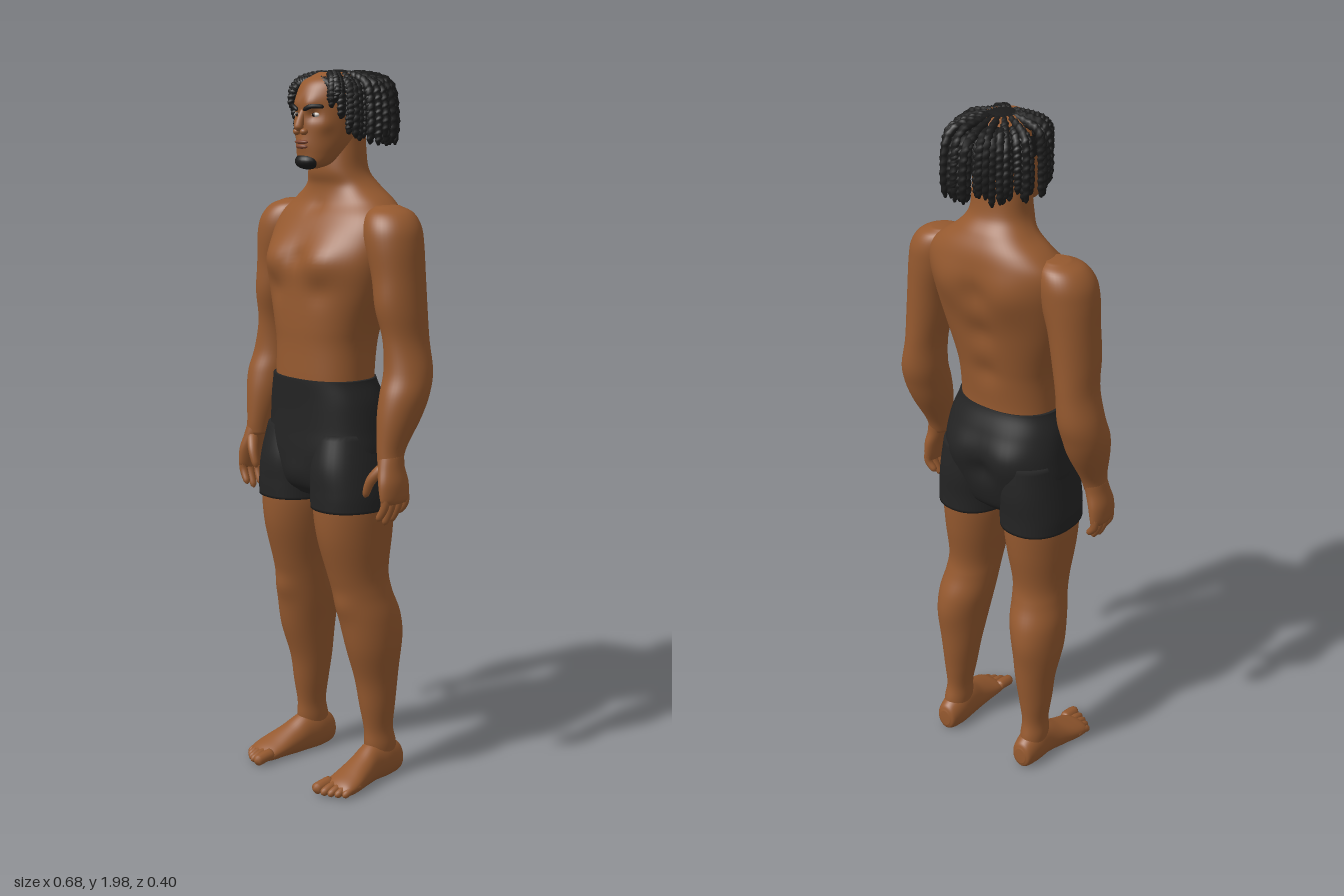
import * as THREE from 'three';

const mat = (name, color, side = THREE.FrontSide) => {
  const m = new THREE.MeshStandardMaterial({ color, side });
  m.name = name;
  return m;
};
const V = (x, y, z) => new THREE.Vector3(x, y, z);

// Joins rings of points into a smooth closed skin with capped ends
function skinRings(rings) {
  const n = rings[0].length, pos = [], idx = [];
  const middle = (r) => r.reduce((a, p) => a.add(p), V(0, 0, 0)).divideScalar(n);
  const cap = (r) => { const c = middle(r); return r.map(() => c); };
  const all = [cap(rings[0]), ...rings, cap(rings[rings.length - 1])];
  all.forEach((r) => r.forEach((p) => pos.push(p.x, p.y, p.z)));
  for (let i = 0; i < all.length - 1; i++) for (let j = 0; j < n; j++) {
    const a = i * n + j, b = i * n + (j + 1) % n;
    if (i > 0) idx.push(a, a + n, b);
    else idx.push(a, a + n, b + n);
    if (i > 0 && i < all.length - 2) idx.push(b, a + n, b + n);
  }
  const g = new THREE.BufferGeometry();
  g.setAttribute('position', new THREE.Float32BufferAttribute(pos, 3));
  g.setIndex(idx);
  g.computeVertexNormals();
  return g;
}

// Upright body part from rows [y, centre x, centre z, half width, half depth]
// bumps: [x, y, z, radius, amount] swell or dent the skin, on both sides
function loft(rows, { steps = 48, n = 40, power = 2, bumps = [], side = 1 } = {}) {
  const centre = new THREE.CatmullRomCurve3(rows.map((r) => V(r[1] * side, r[0], r[2])), false, 'catmullrom');
  const size = new THREE.CatmullRomCurve3(rows.map((r) => V(r[3], 0, r[4])), false, 'catmullrom');
  const round = (v) => Math.sign(v) * Math.pow(Math.abs(v), 2 / power);
  const rings = [];
  for (let i = 0; i <= steps; i++) {
    const c = centre.getPoint(i / steps), s = size.getPoint(i / steps), ring = [];
    for (let j = 0; j < n; j++) {
      const a = (j / n) * Math.PI * 2;
      const out = V(Math.cos(a), 0, Math.sin(a));
      const p = V(c.x + s.x * round(out.x), c.y, c.z + s.z * round(out.z));
      let push = 0;
      for (const [bx, by, bz, r, amount] of bumps) {
        const d = (Math.abs(p.x) - bx) ** 2 + (p.y - by) ** 2 + (p.z - bz) ** 2;
        push += amount * Math.exp(-d / (r * r));
      }
      ring.push(p.addScaledVector(out, push));
    }
    rings.push(ring);
  }
  return skinRings(rings);
}

// Rounded strand along points; radius(t, angle) sets its thickness
function strand(points, radius, steps = 14, n = 10) {
  const curve = new THREE.CatmullRomCurve3(points);
  const f = curve.computeFrenetFrames(steps);
  const rings = [];
  for (let i = 0; i <= steps; i++) {
    const t = i / steps, c = curve.getPointAt(t), ring = [];
    const end = Math.sqrt(Math.max(0.08, 1 - Math.pow(Math.abs(2 * t - 1), 8)));
    for (let j = 0; j < n; j++) {
      const a = (j / n) * Math.PI * 2, r = radius(t, a) * end;
      ring.push(c.clone().addScaledVector(f.normals[i], r * Math.cos(a)).addScaledVector(f.binormals[i], -r * Math.sin(a)));
    }
    rings.push(ring);
  }
  return skinRings(rings);
}

export function createModel() {
  const skin = mat('skin', 0x95592f), black = mat('shorts cloth', 0x242424);
  const hair = mat('hair', 0x1b1b1b, THREE.DoubleSide);
  const lipColor = mat('lips', 0x7d4530), white = mat('eye white', 0xd8d0c8), dark = mat('iris', 0x1a100c);
  const model = new THREE.Group();
  const add = (name, geo, m, parent = model) => {
    const mesh = new THREE.Mesh(geo, m);
    mesh.name = name;
    parent.add(mesh);
    return mesh;
  };
  const group = (name) => { const g = new THREE.Group(); g.name = name; model.add(g); return g; };
  const ball = (name, x, y, z, rx, ry, rz, m, parent) => {
    const b = add(name, new THREE.SphereGeometry(1, 20, 14), m, parent);
    b.scale.set(rx, ry, rz);
    b.position.set(x, y, z);
    return b;
  };

  // Torso, trapezius and neck
  add('torso', loft([
    [1.1, 0, 0.033, 0.148, 0.118], [1.16, 0, 0.04, 0.148, 0.113], [1.25, 0, 0.035, 0.15, 0.116],
    [1.31, 0, 0.031, 0.163, 0.121], [1.4, 0, 0.022, 0.192, 0.128], [1.48, 0, 0.012, 0.21, 0.135],
    [1.55, 0, -0.008, 0.216, 0.125], [1.6, 0, -0.022, 0.205, 0.11], [1.64, 0, -0.032, 0.165, 0.093],
    [1.68, 0, -0.027, 0.112, 0.08], [1.72, 0, -0.01, 0.086, 0.073], [1.78, 0, -0.008, 0.08, 0.066],
    [1.84, 0, -0.008, 0.078, 0.064],
  ], { steps: 72, n: 64, power: 2.3, bumps: [
    [0.085, 1.49, 0.13, 0.06, 0.02], [0, 1.49, 0.14, 0.025, -0.01], [0.085, 1.405, 0.14, 0.035, -0.007],
    [0.09, 1.53, -0.12, 0.065, 0.012], [0, 1.52, -0.13, 0.04, -0.01], [0, 1.4, -0.1, 0.04, -0.012],
    [0, 1.28, -0.08, 0.04, -0.01], [0, 1.62, 0.07, 0.025, -0.006],
  ] }), skin);

  // Shorts: hips and two leg sleeves
  const shorts = group('shorts');
  add('shortsHips', loft([
    [0.835, 0, 0.03, 0.1, 0.08], [0.87, 0, 0.03, 0.165, 0.112], [0.95, 0, 0.026, 0.194, 0.13],
    [1.03, 0, 0.022, 0.188, 0.133], [1.1, 0, 0.03, 0.177, 0.126], [1.15, 0, 0.04, 0.16, 0.119], [1.165, 0, 0.0425, 0.156, 0.117],
  ], { n: 56, power: 2.3, bumps: [[0.08, 1.02, -0.1, 0.06, 0.012], [0, 0.98, -0.12, 0.035, -0.02], [0, 0.9, 0.14, 0.04, 0.01]] }), black, shorts);

  for (const s of [1, -1]) {
    const side = s > 0 ? 'left' : 'right';
    add(side + 'ShortsLeg', loft([
      [0.81, 0.111, 0.03, 0.104, 0.129], [0.86, 0.11, 0.03, 0.103, 0.13], [0.93, 0.105, 0.027, 0.097, 0.132], [1.02, 0.1, 0.02, 0.085, 0.12],
    ], { steps: 20, power: 2.2, side: s }), black, shorts);

    // Leg with calf and knee
    const leg = group(side + 'Leg');
    add(side + 'LegSkin', loft([
      [0.05, 0.147, -0.045, 0.034, 0.048], [0.1, 0.147, -0.038, 0.037, 0.052], [0.15, 0.145, -0.033, 0.035, 0.047],
      [0.22, 0.143, -0.03, 0.045, 0.056], [0.3, 0.14, -0.028, 0.055, 0.067], [0.4, 0.14, -0.016, 0.069, 0.086],
      [0.49, 0.132, -0.007, 0.077, 0.095], [0.56, 0.123, 0.011, 0.075, 0.09], [0.62, 0.118, 0.024, 0.076, 0.094],
      [0.72, 0.113, 0.031, 0.09, 0.115], [0.8, 0.11, 0.032, 0.099, 0.123], [0.86, 0.11, 0.03, 0.098, 0.122],
    ], { steps: 60, side: s, bumps: [[0.128, 0.53, 0.09, 0.035, 0.007], [0.15, 0.43, -0.1, 0.05, 0.006]] }), skin, leg);

    // Foot runs heel to ball, flattened on the sole
    const foot = loft([
      [-0.11, 0.146, -0.045, 0.018, 0.025], [-0.098, 0.146, -0.047, 0.033, 0.045], [-0.05, 0.146, -0.055, 0.041, 0.062],
      [0, 0.148, -0.053, 0.041, 0.06], [0.05, 0.156, -0.04, 0.046, 0.046], [0.1, 0.164, -0.029, 0.052, 0.033],
      [0.135, 0.166, -0.022, 0.051, 0.024], [0.155, 0.163, -0.018, 0.042, 0.015],
    ], { side: s }).rotateX(Math.PI / 2);
    const fp = foot.attributes.position;
    for (let i = 0; i < fp.count; i++) fp.setY(i, Math.max(0.003, fp.getY(i)));
    foot.computeVertexNormals();
    add(side + 'Foot', foot, skin, leg);
    [[0.13, 0.198, 0.017], [0.155, 0.192, 0.012], [0.174, 0.183, 0.011], [0.191, 0.172, 0.011], [0.207, 0.158, 0.011]].forEach(([x, z, r], i) =>
      add(`${side}Toe${i + 1}`, strand([V(x * s, 0.028, z - 0.065), V(x * s, 0.024, z - 0.03), V(x * s, r + 0.001, z)], () => r), skin, leg));

    // Arm from shoulder dome to wrist, then palm
    const arm = group(side + 'Arm');
    add(side + 'ArmSkin', loft([
      [0.955, 0.278, 0.055, 0.031, 0.036], [1.0, 0.274, 0.046, 0.035, 0.044], [1.08, 0.275, 0.02, 0.054, 0.065],
      [1.14, 0.276, 0.002, 0.062, 0.072], [1.2, 0.271, -0.016, 0.061, 0.071], [1.28, 0.26, -0.018, 0.053, 0.07],
      [1.36, 0.25, -0.012, 0.059, 0.075], [1.45, 0.238, -0.01, 0.065, 0.078], [1.53, 0.222, -0.008, 0.076, 0.083],
      [1.58, 0.212, -0.01, 0.075, 0.08], [1.615, 0.2, -0.014, 0.06, 0.063], [1.633, 0.188, -0.018, 0.03, 0.032],
    ], { steps: 60, side: s, bumps: [[0.24, 1.38, 0.06, 0.05, 0.005]] }), skin, arm);
    const hand = group(side + 'Hand');
    add(side + 'Palm', loft([
      [0.855, 0.298, 0.057, 0.016, 0.045], [0.87, 0.299, 0.058, 0.021, 0.05], [0.91, 0.294, 0.058, 0.026, 0.05],
      [0.95, 0.283, 0.056, 0.029, 0.042], [0.985, 0.276, 0.05, 0.031, 0.038],
    ], { steps: 20, n: 28, side: s }), skin, hand);
    [[0.094, 0.808], [0.07, 0.793], [0.045, 0.799], [0.021, 0.82]].forEach(([z, y], i) =>
      add(`${side}Finger${i + 1}`, strand([V(0.298 * s, 0.885, z), V(0.299 * s, 0.85, z), V(0.276 * s, y, z + 0.004)],
        (t) => 0.0135 - 0.004 * t), skin, hand));
    add(side + 'Thumb', strand([V(0.28 * s, 0.955, 0.075), V(0.25 * s, 0.915, 0.098), V(0.23 * s, 0.865, 0.102)], (t) => 0.018 - 0.008 * t), skin, hand);
  }

  // Head with eye sockets, brow and cheeks
  const head = group('head');
  add('skull', loft([
    [1.727, 0, 0.09, 0.02, 0.024], [1.74, 0, 0.073, 0.045, 0.048], [1.77, 0, 0.043, 0.064, 0.08], [1.8, 0, 0.023, 0.076, 0.1],
    [1.84, 0, 0.013, 0.083, 0.11], [1.88, 0, 0.008, 0.087, 0.114], [1.92, 0, 0, 0.088, 0.117],
    [1.955, 0, -0.005, 0.078, 0.1], [1.978, 0, -0.01, 0.045, 0.06],
  ], { steps: 56, n: 64, bumps: [
    [0.035, 1.868, 0.115, 0.016, -0.01], [0.025, 1.895, 0.115, 0.02, 0.007], [0.055, 1.84, 0.09, 0.02, 0.006], [0, 1.789, 0.12, 0.02, 0.005],
  ] }), skin, head);
  add('nose', strand([V(0, 1.885, 0.112), V(0, 1.855, 0.126), V(0, 1.826, 0.135)], (t) => 0.008 + 0.006 * t), skin, head);
  ball('upperLip', 0, 1.797, 0.123, 0.025, 0.006, 0.01, lipColor, head);
  ball('lowerLip', 0, 1.785, 0.121, 0.022, 0.007, 0.011, lipColor, head);
  ball('goatee', 0, 1.746, 0.1, 0.038, 0.022, 0.034, hair, head);
  for (const s of [1, -1]) {
    const side = s > 0 ? 'left' : 'right';
    ball(side + 'Nostril', 0.014 * s, 1.824, 0.126, 0.011, 0.009, 0.011, skin, head);
    ball(side + 'Eye', 0.035 * s, 1.868, 0.104, 0.014, 0.006, 0.007, white, head);
    ball(side + 'Iris', 0.034 * s, 1.868, 0.108, 0.006, 0.0055, 0.005, dark, head);
    ball(side + 'Ear', 0.088 * s, 1.845, -0.005, 0.01, 0.028, 0.018, skin, head);
    add(side + 'Eyebrow', strand([V(0.012 * s, 1.88, 0.126), V(0.036 * s, 1.89, 0.12), V(0.063 * s, 1.889, 0.098)], () => 0.006), hair, head);
  }

  // Scalp cap, tilted back off the forehead
  const locks = group('hair');
  add('scalpHair', new THREE.SphereGeometry(1, 36, 20, 0, Math.PI * 2, 0, 1.62).rotateX(-0.33)
    .scale(0.099, 0.103, 0.122).translate(0, 1.882, -0.008), hair, locks);

  // Twisted locks rooted in rings, hanging down around the head
  let seed = 7;
  const rand = () => (seed = (seed * 16807) % 2147483647) / 2147483647 - 0.5;
  const layers = [[1.25, 18, 1.0], [0.9, 26, 0.97], [0.5, 28, 0.9]];
  for (const [elevation, count, spread] of layers) for (let i = 0; i < count; i++) {
    const f = ((i + 0.5) / count) * Math.PI * 2 - Math.PI + rand() * 0.12;
    const turn = Math.abs(f), sgn = Math.sign(f);
    if (turn < 0.6 && elevation < 0.8) continue;
    const hang = Math.max(turn, 0.62 + 0.3 * turn) * sgn;
    const dx = Math.sin(hang), dz = Math.cos(hang);
    const reach = spread + rand() * 0.08;
    const ex = 0.126 * dx * reach, ez = -0.01 + (dz > 0 ? 0.122 : 0.17) * dz * reach;
    const low = 1.795 + 0.1 * THREE.MathUtils.clamp((1.25 - turn) / 0.6, 0, 1) + rand() * 0.03;
    const ce = Math.cos(elevation);
    const root = V(0.097 * ce * Math.sin(f), 1.882 + 0.101 * Math.sin(elevation), -0.008 + 0.118 * ce * Math.cos(f));
    const bend = V(ex * 0.88, 1.945 + rand() * 0.02, ez * 0.88);
    const phase = rand() * 6;
    add('lock', strand([root, bend, V(ex, (bend.y + low) / 2, ez), V(ex * 0.99, low, ez * 0.99)],
      (t, a) => 0.0105 * (1 + 0.17 * Math.sin(t * 75 + a + phase)), 36, 7), hair, locks);
  }
  return model;
}
